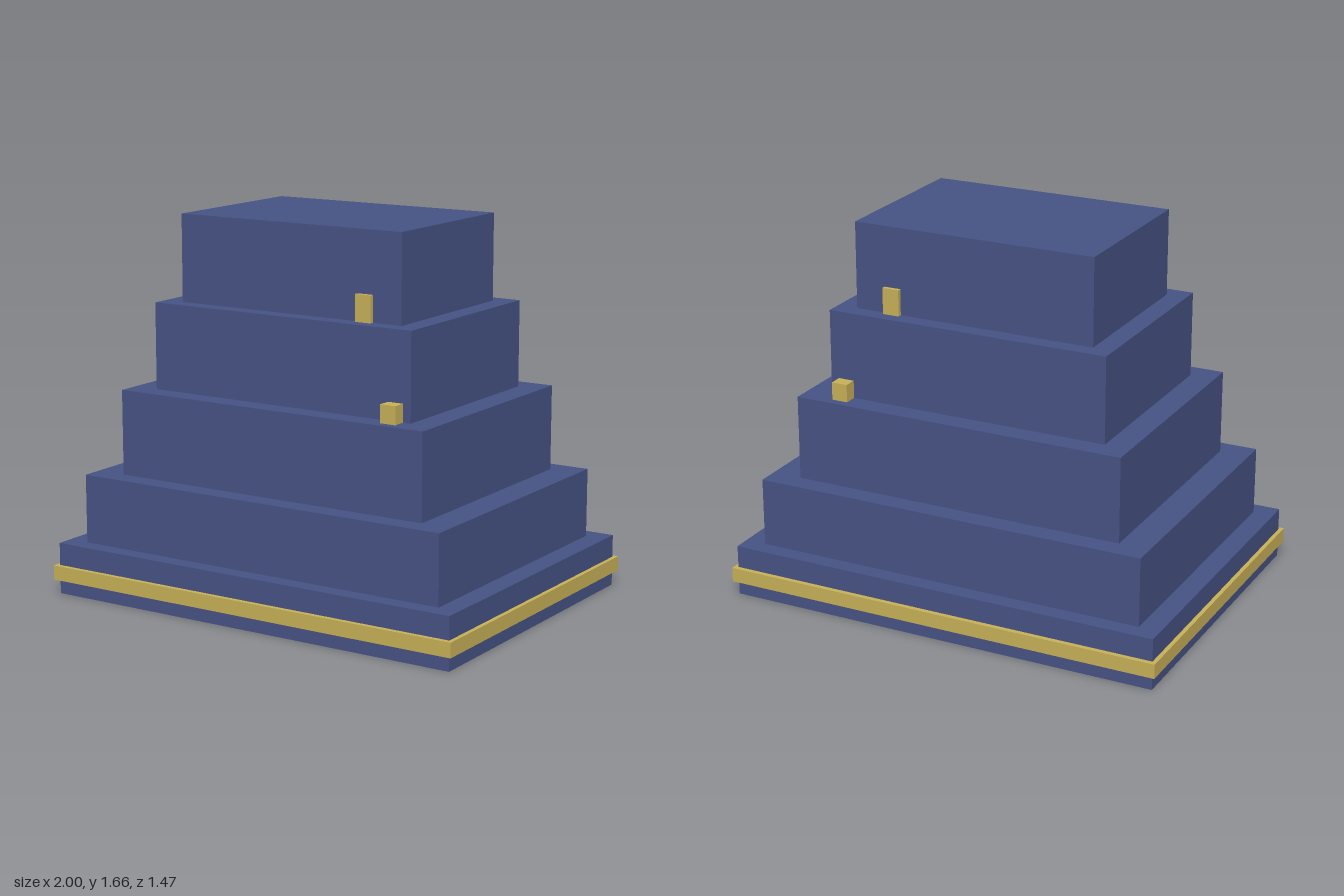
import * as THREE from 'three';

export function createModel() {
  const model = new THREE.Group();
  model.name = 'steppedTower';

  const blue = new THREE.MeshStandardMaterial({ color: 0x465284 });
  blue.name = 'slate blue';
  const gold = new THREE.MeshStandardMaterial({ color: 0xc8b158 });
  gold.name = 'gold';

  // Box given by its size, centre x and z, and bottom and top heights
  function block(name, material, width, depth, bottom, top, x = 0, z = 0) {
    const mesh = new THREE.Mesh(new THREE.BoxGeometry(width, top - bottom, depth), material);
    mesh.position.set(x, (bottom + top) / 2, z);
    mesh.name = name;
    model.add(mesh);
  }

  // Five stacked tiers: width, depth, top height
  const tiers = [
    [1.963, 1.43, 0.227],
    [1.775, 1.28, 0.53],
    [1.505, 1.094, 0.904],
    [1.278, 0.9, 1.282],
    [1.096, 0.752, 1.662],
  ];
  let bottom = 0;
  tiers.forEach(([width, depth, top], i) => {
    block(`tier${i + 1}`, blue, width, depth, bottom, top);
    bottom = top;
  });

  // Band around the base
  block('baseBand', gold, 2, 1.473, 0.064, 0.128);

  // Small blocks on the ledges, mirrored front and back
  for (const [side, s] of [['front', 1], ['back', -1]]) {
    block(`${side}LowerBlock`, gold, 0.072, 0.06, 0.904, 0.982, 0.567, s * 0.479);
    block(`${side}UpperBlock`, gold, 0.075, 0.02, 1.282, 1.397, 0.375, s * 0.385);
  }

  return model;
}
